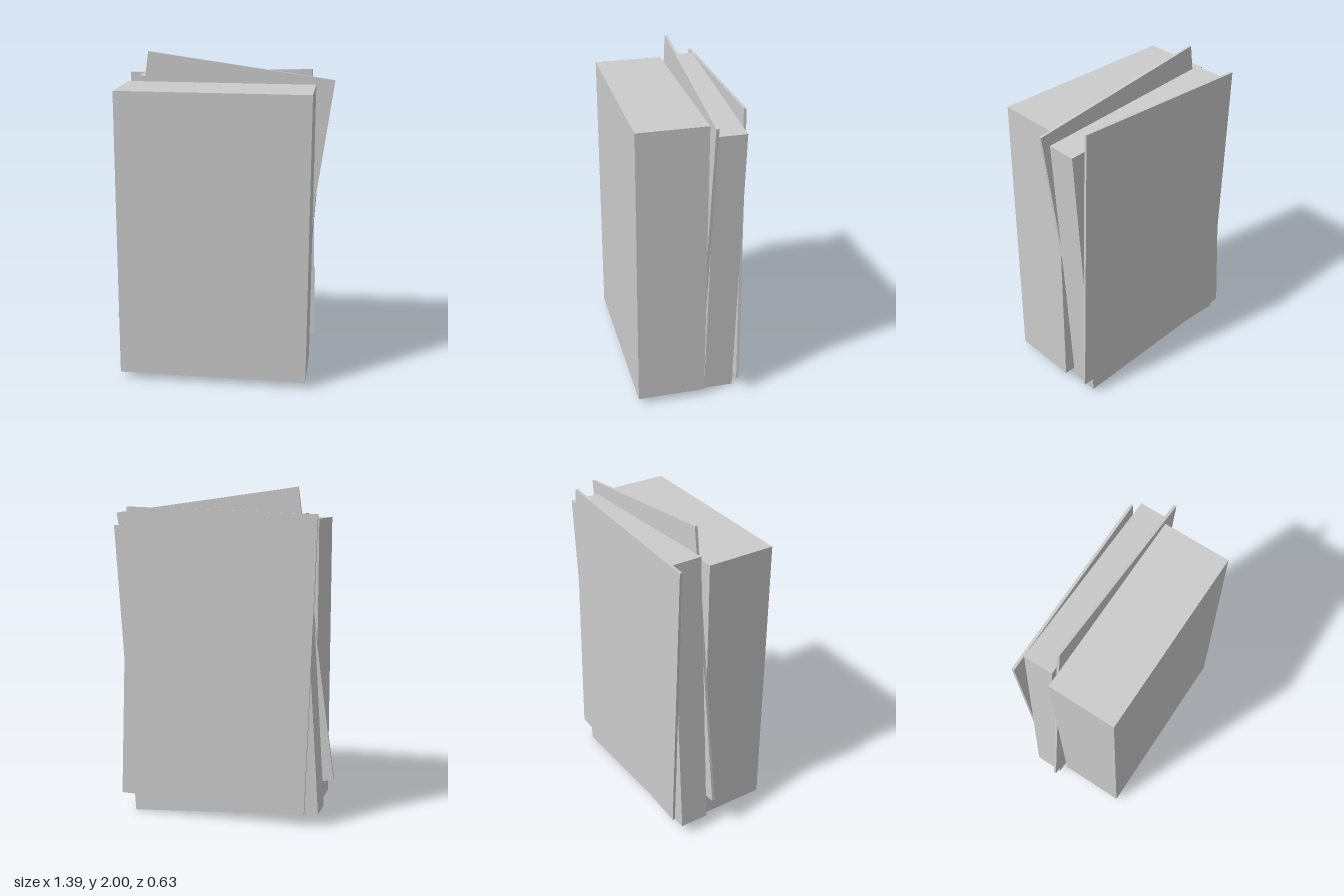
import * as THREE from 'three';

const WIDTH = 1.16, HEIGHT = 1.774;

// Stacked slabs of one outline: z range, centre and tilt about z
const slabs = [
  { name: 'frontBlock', front: 0.315, back: -0.102, x: 0, y: 0.928, tilt: 0 },
  { name: 'frontSheet', front: -0.102, back: -0.119, x: 0, y: 1.043, tilt: -0.135 },
  { name: 'middleBlock', front: -0.119, back: -0.299, x: 0, y: 0.925, tilt: -0.065 },
  { name: 'backSheet', front: -0.299, back: -0.315, x: -0.004, y: 0.978, tilt: 0.034 },
];

export function createModel() {
  const group = new THREE.Group();
  group.name = 'slabStack';
  const material = new THREE.MeshStandardMaterial({ color: 0xcccccc, flatShading: true });
  for (const s of slabs) {
    const mesh = new THREE.Mesh(new THREE.BoxGeometry(WIDTH, HEIGHT, s.front - s.back), material);
    mesh.name = s.name;
    mesh.position.set(s.x, s.y, (s.front + s.back) / 2);
    mesh.rotation.z = s.tilt;
    group.add(mesh);
  }
  return group;
}
